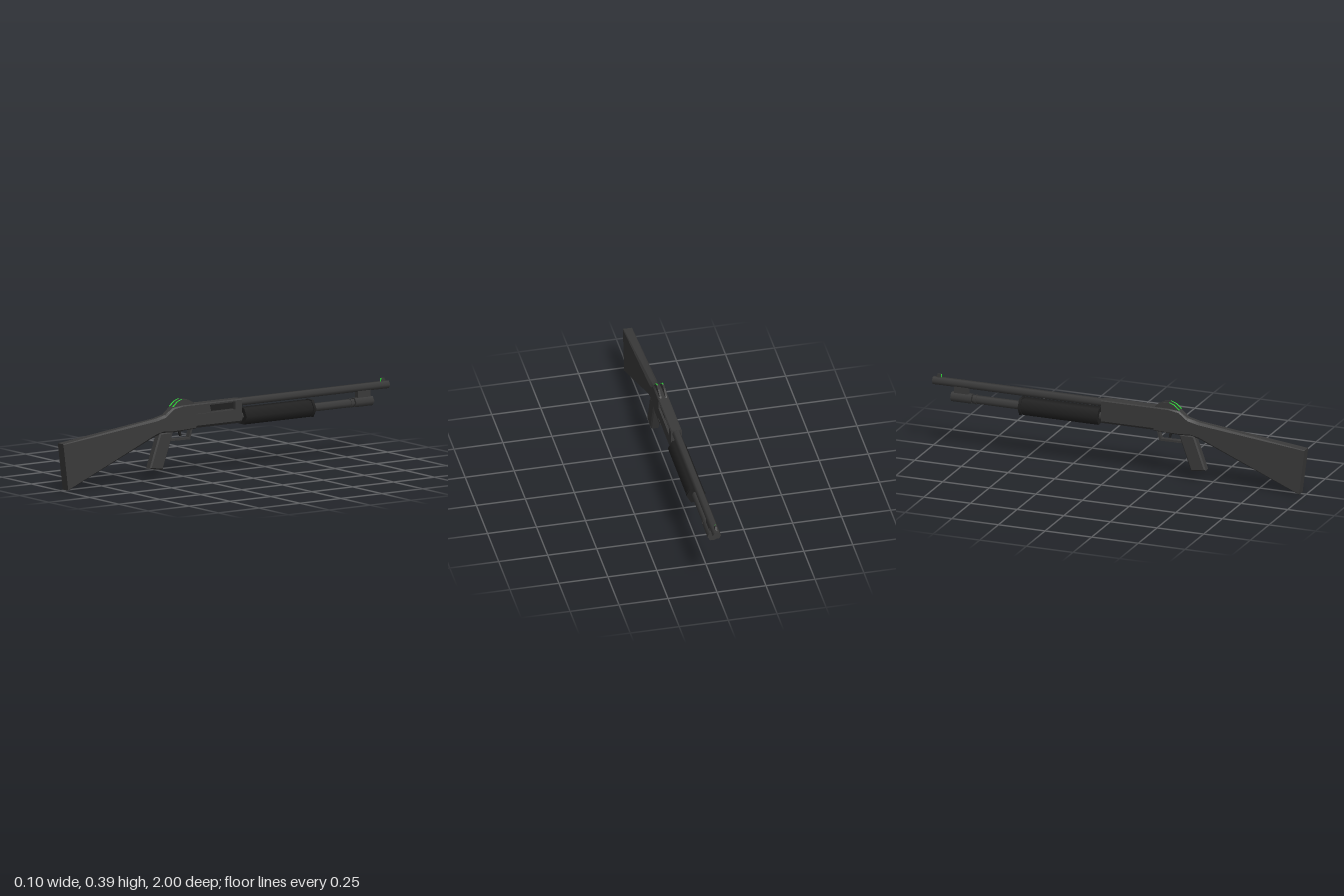
import * as THREE from 'three';
import { toCreasedNormals } from 'three/addons/utils/BufferGeometryUtils.js';

const mat = (color) => new THREE.MeshStandardMaterial({ color });

export function createModel() {
  const group = new THREE.Group();
  const steel = mat(0x3a3a3a), dark = mat(0x202020), green = mat(0x2fe03a);

  const add = (name, geometry, material = steel) => {
    const mesh = new THREE.Mesh(geometry, material);
    mesh.name = name;
    group.add(mesh);
    return mesh;
  };

  // Box given by its ranges on each axis
  const box = (name, x0, x1, y0, y1, z0, z1, material) =>
    add(name, new THREE.BoxGeometry(x1 - x0, y1 - y0, z1 - z0)
      .translate((x0 + x1) / 2, (y0 + y1) / 2, (z0 + z1) / 2), material);

  // Six-sided bar along z, corners pointing sideways
  const hexBar = (name, r, y, z0, z1, material) =>
    add(name, new THREE.CylinderGeometry(r, r, z1 - z0, 6, 1, false, Math.PI / 6)
      .rotateX(Math.PI / 2).translate(0, y, (z0 + z1) / 2), material);

  // Side outline of [z, y] points, extruded across x
  const sidePlate = (name, points, x0, x1, bevel = 0, material = steel) => {
    const shape = new THREE.Shape(points.map(([z, y]) => new THREE.Vector2(-z, y)));
    const geo = new THREE.ExtrudeGeometry(shape, {
      depth: x1 - x0 - 2 * bevel, bevelEnabled: bevel > 0, bevelSegments: 1,
      bevelSize: bevel, bevelThickness: bevel, bevelOffset: -bevel,
    });
    return add(name, geo.translate(0, 0, x0 + bevel).rotateY(Math.PI / 2), material);
  };

  // Cross-section of [x, y] points, extruded along z
  const section = (name, points, z0, z1) => {
    const shape = new THREE.Shape(points.map(([x, y]) => new THREE.Vector2(x, y)));
    add(name, new THREE.ExtrudeGeometry(shape, { depth: z1 - z0, bevelEnabled: false })
      .translate(0, 0, z0));
  };

  // Chamfered sections joined back to front: [zLow, yLow, zHigh, yHigh, halfWidth, chamfer]
  const loft = (name, stations) => {
    const rings = stations.map(([zl, yl, zh, yh, w, c]) =>
      [[w - c, yl], [w, yl + c], [w, yh - c], [w - c, yh],
        [c - w, yh], [-w, yh - c], [-w, yl + c], [c - w, yl]]
        .map(([x, y]) => [x, y, zl + (zh - zl) * (y - yl) / (yh - yl)]));
    const pos = [];
    const tri = (...corners) => corners.forEach((p) => pos.push(...p));
    for (let i = 0; i < rings.length - 1; i++) {
      for (let j = 0; j < 8; j++) {
        const k = (j + 1) % 8, a = rings[i], b = rings[i + 1];
        tri(a[j], b[j], a[k]);
        tri(a[k], b[j], b[k]);
      }
    }
    const first = rings[0], last = rings[rings.length - 1];
    for (let j = 1; j < 7; j++) {
      tri(first[0], first[j], first[j + 1]);
      tri(last[0], last[j + 1], last[j]);
    }
    const geo = new THREE.BufferGeometry();
    geo.setAttribute('position', new THREE.Float32BufferAttribute(pos, 3));
    add(name, toCreasedNormals(geo, 0.6));
  };

  // Stock, wrist and rear of the receiver
  loft('stock', [
    [0.97, 0.0, 1.0, 0.237, 0.024, 0.003],
    [0.43, 0.22, 0.43, 0.308, 0.023, 0.012],
    [0.385, 0.23, 0.37, 0.322, 0.024, 0.012],
    [0.33, 0.23, 0.325, 0.355, 0.026, 0.008],
    [0.26, 0.235, 0.27, 0.362, 0.028, 0.005],
    [0.19, 0.238, 0.19, 0.362, 0.028, 0.005],
  ]);

  // Receiver, with an ejection port on its +x side and a loading slot below
  const w = 0.028, lo = 0.24, hi = 0.362, c = 0.005;
  const top = [[w, hi - c], [w - c, hi], [c - w, hi], [-w, hi - c]];
  const left = [[-w, lo + 0.012], [-0.018, lo]];
  const plainBase = [[0.018, lo], [w, lo + 0.012]];
  const slotBase = [[-0.012, lo], [-0.012, 0.262], [0.012, 0.262], ...plainBase];
  const port = [[w, 0.31], [0.004, 0.31], [0.004, 0.352], [w, 0.352]];
  section('receiverPortRear', [...plainBase, ...port, ...top, ...left], 0.14, 0.19);
  section('receiverPortFront', [...slotBase, ...port, ...top, ...left], -0.05, 0.14);
  section('receiverFront', [...plainBase, ...top, ...left], -0.09, -0.05);
  sidePlate('bolt', [[0.19, 0.31], [0.19, 0.352], [0.10, 0.352], [0.09, 0.31]], 0.002, 0.017);
  box('boltFace', 0.002, 0.01, 0.315, 0.345, -0.05, 0.09, dark);

  // Pistol grip, trigger guard and trigger
  sidePlate('grip', [[0.405, 0.235], [0.467, 0.06], [0.388, 0.047], [0.322, 0.235]],
    -0.022, 0.022, 0.007);
  sidePlate('triggerGuard', [[0.34, 0.197], [0.34, 0.187], [0.217, 0.185], [0.2, 0.245],
    [0.211, 0.245], [0.225, 0.196]], -0.013, 0.013);
  sidePlate('trigger', [[0.285, 0.24], [0.272, 0.205], [0.265, 0.205], [0.268, 0.24]],
    -0.005, 0.005, 0, dark);

  // Barrel, magazine tube and the clamp joining them
  hexBar('barrel', 0.021, 0.343, -1, -0.08);
  hexBar('magazineTube', 0.022, 0.27, -0.785, -0.08);
  hexBar('magazineNeck', 0.018, 0.27, -0.80, -0.78, dark);
  hexBar('magazineRing', 0.025, 0.27, -0.775, -0.765);
  hexBar('magazineCap', 0.026, 0.271, -0.90, -0.79);
  box('barrelClamp', -0.012, 0.012, 0.275, 0.34, -0.885, -0.81);

  // Sliding fore-end with a collar at its front
  hexBar('foreEnd', 0.047, 0.27, -0.51, -0.105, dark);
  hexBar('foreEndGroove', 0.043, 0.27, -0.517, -0.51, dark);
  hexBar('foreEndCollar', 0.049, 0.27, -0.53, -0.517, dark);

  // Rear sight ears with bright strips on their back edges
  const ear = [[0.328, 0.352], [0.297, 0.381], [0.27, 0.392], [0.237, 0.389],
    [0.2, 0.37], [0.19, 0.355]];
  const strip = [[0.326, 0.36], [0.298, 0.383], [0.27, 0.3935], [0.268, 0.389], [0.295, 0.377], [0.32, 0.355]];
  for (const side of [-1, 1]) {
    sidePlate('rearSightEar', ear, side * 0.0145 - 0.0045, side * 0.0145 + 0.0045);
    sidePlate('rearSightStrip', strip, side * 0.0145 - 0.0028, side * 0.0145 + 0.0028, 0, green);
  }

  // Front sight post
  sidePlate('frontSight', [[-0.955, 0.355], [-0.96, 0.379], [-0.976, 0.379], [-0.988, 0.355]],
    -0.005, 0.005);
  box('frontSightStrip', -0.003, 0.003, 0.36, 0.378, -0.96, -0.954, green);

  return group;
}
